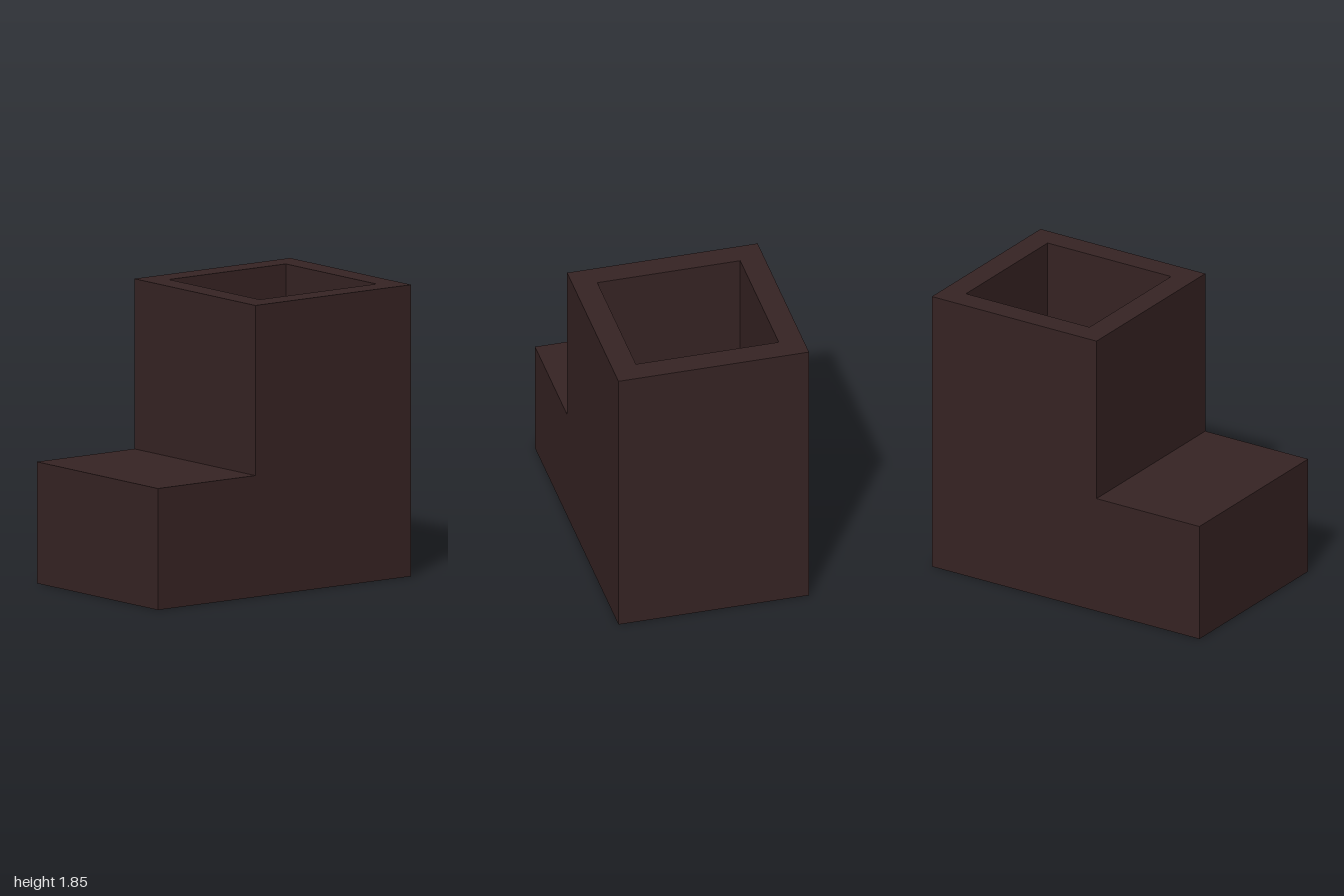
import * as THREE from 'three';

const U = 2 / 13; // one block unit: the boot is 13 long, 8 wide, 12 high

function square(Type, half) {
  const s = new Type();
  s.moveTo(-half, -half);
  s.lineTo(half, -half);
  s.lineTo(half, half);
  s.lineTo(-half, half);
  s.closePath();
  return s;
}

export function createModel() {
  const model = new THREE.Group();
  model.name = 'boot';

  const leather = new THREE.MeshStandardMaterial({ color: 0x362323 });
  leather.name = 'dark brown leather';

  const add = (name, geometry, x, y, z) => {
    const mesh = new THREE.Mesh(geometry, leather);
    mesh.name = name;
    mesh.position.set(x, y, z);
    model.add(mesh);
  };

  // Hollow square shaft with walls one unit thick
  const outline = square(THREE.Shape, 4 * U);
  outline.holes.push(square(THREE.Path, 3 * U));
  const shaft = new THREE.ExtrudeGeometry(outline, { depth: 11 * U, bevelEnabled: false });
  shaft.rotateX(-Math.PI / 2);
  add('shaft', shaft, 0, U, -2.5 * U);

  // Sole closing the bottom of the shaft
  add('sole', new THREE.BoxGeometry(8 * U, U, 8 * U), 0, U / 2, -2.5 * U);

  // Solid toe block in front
  add('toe', new THREE.BoxGeometry(8 * U, 5 * U, 5 * U), 0, 2.5 * U, 4 * U);

  return model;
}
